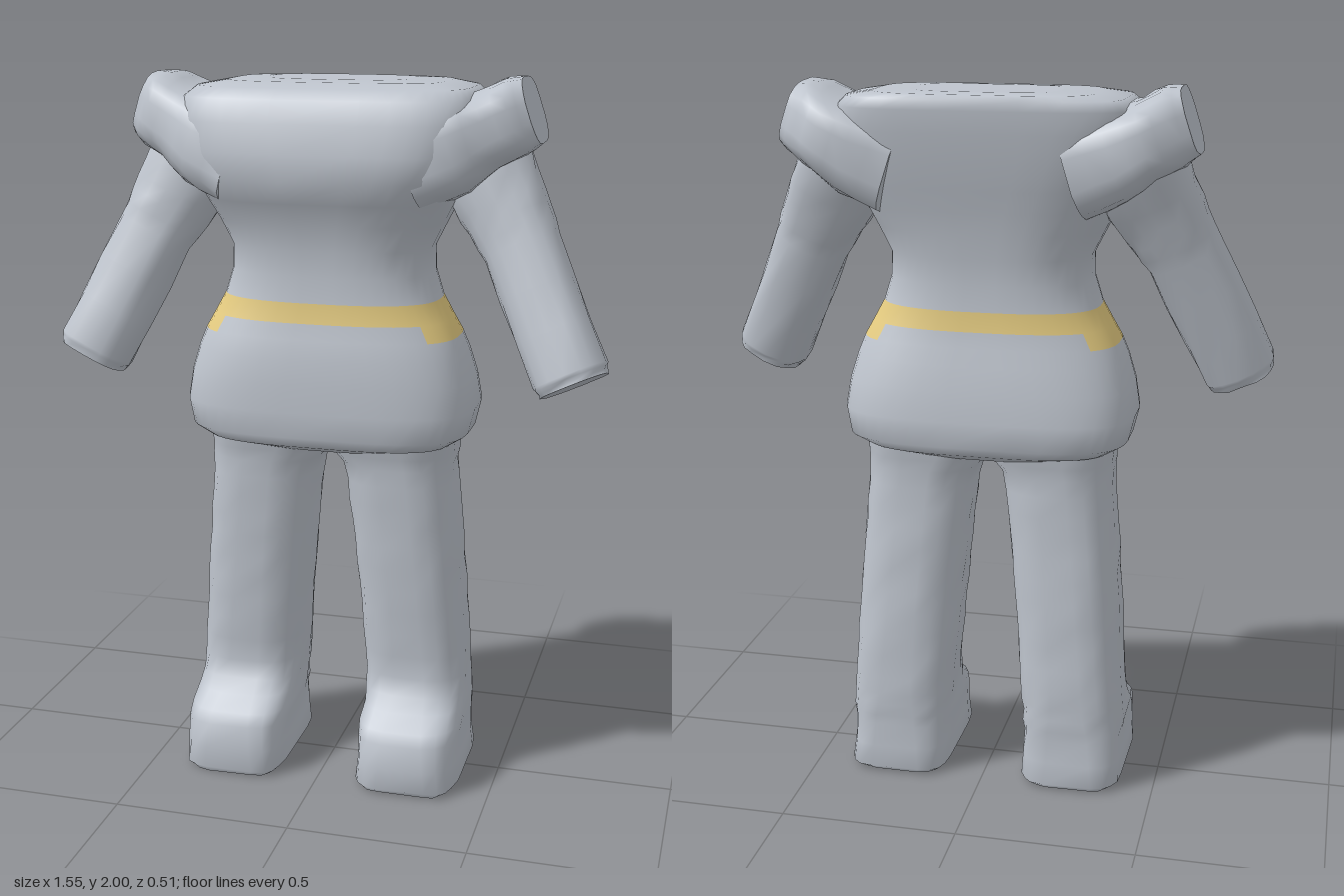
import * as THREE from 'three';

const fabric = new THREE.MeshStandardMaterial({ color: 0xbec4cd });
fabric.name = 'greyFabric';
const gold = new THREE.MeshStandardMaterial({ color: 0xe4cb80 });
gold.name = 'goldBelt';

let seed = 7;
const rand = () => ((seed = (seed * 16807) % 2147483647) / 2147483647) - 0.5;

// Closed skin over rounded-box sections, bottom to top: [y, x0, x1, z0, z1, squareness].
// pick(row, angle) chooses the material index of a face.
function loft(rows, sides, bump = 0, pick = () => 0) {
  const pos = [], faces = [[], []];
  const rounded = (v, e) => Math.sign(v) * Math.abs(v) ** (2 / e);
  for (const [y, x0, x1, z0, z1, e] of rows) {
    for (let j = 0; j < sides; j++) {
      const t = ((j + 0.5) / sides) * Math.PI * 2, k = 1 + rand() * bump;
      pos.push((x0 + x1) / 2 + ((x1 - x0) / 2) * k * rounded(Math.cos(t), e), y,
        (z0 + z1) / 2 + ((z1 - z0) / 2) * k * rounded(Math.sin(t), e));
    }
  }
  for (let i = 0; i < rows.length - 1; i++) {
    for (let j = 0; j < sides; j++) {
      const a = i * sides + j, b = i * sides + ((j + 1) % sides);
      const list = faces[pick(i, ((j + 1) / sides) * Math.PI * 2)];
      list.push(a, a + sides, b, b, a + sides, b + sides);
    }
  }
  // Flat end caps with their own vertices
  for (const i of [0, rows.length - 1]) {
    const [y, x0, x1, z0, z1] = rows[i], start = pos.length / 3;
    pos.push(...pos.slice(i * sides * 3, (i + 1) * sides * 3));
    pos.push((x0 + x1) / 2, y, (z0 + z1) / 2);
    for (let j = 0; j < sides; j++) {
      const a = start + j, b = start + ((j + 1) % sides);
      faces[0].push(start + sides, ...(i === 0 ? [a, b] : [b, a]));
    }
  }
  const g = new THREE.BufferGeometry();
  g.setAttribute('position', new THREE.Float32BufferAttribute(pos, 3));
  g.setIndex([...faces[0], ...faces[1]]);
  g.addGroup(0, faces[0].length, 0);
  if (faces[1].length) g.addGroup(faces[0].length, faces[1].length, 1);
  g.computeVertexNormals();
  return g;
}

// Fill in extra sections between the given ones
function refine(rows, steps) {
  const out = [];
  for (let i = 0; i < rows.length - 1; i++) {
    for (let s = 0; s < steps; s++) {
      out.push(rows[i].map((v, k) => v + (rows[i + 1][k] - v) * (s / steps)));
    }
  }
  return [...out, rows[rows.length - 1]];
}

// Swap a section's x limits for the other side of the body
const mirror = (rows, side) => rows.map(([y, a, b, ...rest]) =>
  side > 0 ? [y, a, b, ...rest] : [y, -b, -a, ...rest]);

export function createModel() {
  const model = new THREE.Group();
  model.name = 'outfit';
  const add = (name, geometry, materials = fabric) => {
    const mesh = new THREE.Mesh(geometry, materials);
    mesh.name = name;
    model.add(mesh);
    return mesh;
  };

  // Torso and flared skirt: [y, half width, back, front, squareness]
  const torso = [
    [0.975, 0.22, -0.16, 0.14, 3], [1.0, 0.35, -0.21, 0.2, 3.4], [1.03, 0.395, -0.24, 0.22, 3.6],
    [1.1, 0.412, -0.235, 0.22, 3.4], [1.18, 0.4, -0.225, 0.217, 3.2], [1.25, 0.38, -0.21, 0.21, 3],
    [1.3, 0.36, -0.2, 0.2, 2.9], [1.345, 0.335, -0.19, 0.19, 2.8], [1.4, 0.305, -0.185, 0.182, 2.7],
    [1.47, 0.283, -0.18, 0.177, 2.7], [1.54, 0.28, -0.185, 0.178, 2.8], [1.61, 0.315, -0.195, 0.192, 2.9],
    [1.67, 0.345, -0.205, 0.215, 3.2], [1.73, 0.365, -0.22, 0.245, 3.6], [1.8, 0.385, -0.235, 0.24, 4],
    [1.88, 0.405, -0.25, 0.225, 4.2], [1.94, 0.405, -0.257, 0.2, 4.2], [1.967, 0.375, -0.256, 0.165, 4.2],
    [1.98, 0.3, -0.245, 0.11, 4], [1.984, 0.2, -0.2, 0.04, 3.5],
  ].map(([y, w, back, front, e]) => [y, -w, w, back, front, e]);
  // Belt band, dropping lower at the hips
  const belt = (row, t) => (row === 7 || (row === 6 && Math.abs(Math.cos(t)) > 0.75) ? 1 : 0);
  add('torso', loft(torso, 40, 0, belt), [fabric, gold]);

  const up = new THREE.Vector3(0, 1, 0);
  for (const side of [1, -1]) {
    const label = side > 0 ? 'left' : 'right';

    // Trouser leg with boot
    const boot = [
      [0.0, 0.125, 0.385, -0.19, 0.24, 5], [0.015, 0.11, 0.405, -0.205, 0.25, 5],
      [0.08, 0.112, 0.402, -0.2, 0.25, 4.5], [0.15, 0.11, 0.403, -0.2, 0.24, 4],
      [0.18, 0.108, 0.403, -0.2, 0.215, 3.8], [0.215, 0.106, 0.4, -0.2, 0.16, 3.4],
      [0.25, 0.104, 0.4, -0.2, 0.125, 3.2],
    ];
    const shin = refine([
      [0.3, 0.1, 0.398, -0.2, 0.107, 3], [0.5, 0.083, 0.385, -0.19, 0.118, 2.8],
      [0.7, 0.064, 0.37, -0.178, 0.127, 2.7], [0.88, 0.044, 0.355, -0.168, 0.135, 2.7],
    ], 3);
    const hip = [[0.93, 0.032, 0.353, -0.167, 0.138, 2.7], [0.965, 0.005, 0.355, -0.172, 0.145, 2.8],
      [1.03, -0.01, 0.36, -0.18, 0.16, 2.8]];
    add(label + 'Leg', loft(mirror([...boot, ...shin, ...hip], side), 20, 0.035));

    // Sleeve, running from cuff up to the shoulder and widening into the armpit
    const cuff = new THREE.Vector3(0.69 * side, 1.2, 0.105);
    const top = new THREE.Vector3(0.4 * side, 1.8, -0.055);
    const length = cuff.distanceTo(top);
    const sleeve = refine([
      [0, -0.094, 0.094, -0.094, 0.094, 2.7], [0.03, -0.104, 0.104, -0.102, 0.102, 2.6],
      [length * 0.58, -0.104, 0.108, -0.1, 0.095, 2.4], [length * 0.76, -0.125, 0.118, -0.108, 0.1, 2.4],
      [length, -0.15, 0.125, -0.13, 0.115, 2.5],
    ], 3);
    const arm = add(label + 'Sleeve', loft(mirror(sleeve, side), 18, 0.07));
    arm.position.copy(cuff);
    arm.quaternion.setFromUnitVectors(up, top.clone().sub(cuff).normalize());

    // Flared shoulder pad blending into the chest, facing outwards and slightly up
    const pad = refine([
      [-0.32, -0.1, 0.17, -0.245, 0.225, 3.4], [-0.2, -0.095, 0.155, -0.255, 0.2, 3.2],
      [-0.11, -0.092, 0.12, -0.248, 0.15, 3], [-0.04, -0.102, 0.11, -0.205, 0.128, 2.9],
      [0.005, -0.09, 0.092, -0.168, 0.085, 3],
    ], 2);
    const shoulder = add(label + 'ShoulderPad', loft(mirror(pad, side), 20, 0.05));
    shoulder.position.set(0.535 * side, 1.91, 0);
    shoulder.quaternion.setFromUnitVectors(up, new THREE.Vector3(side, 0.33, 0).normalize());
  }
  return model;
}
